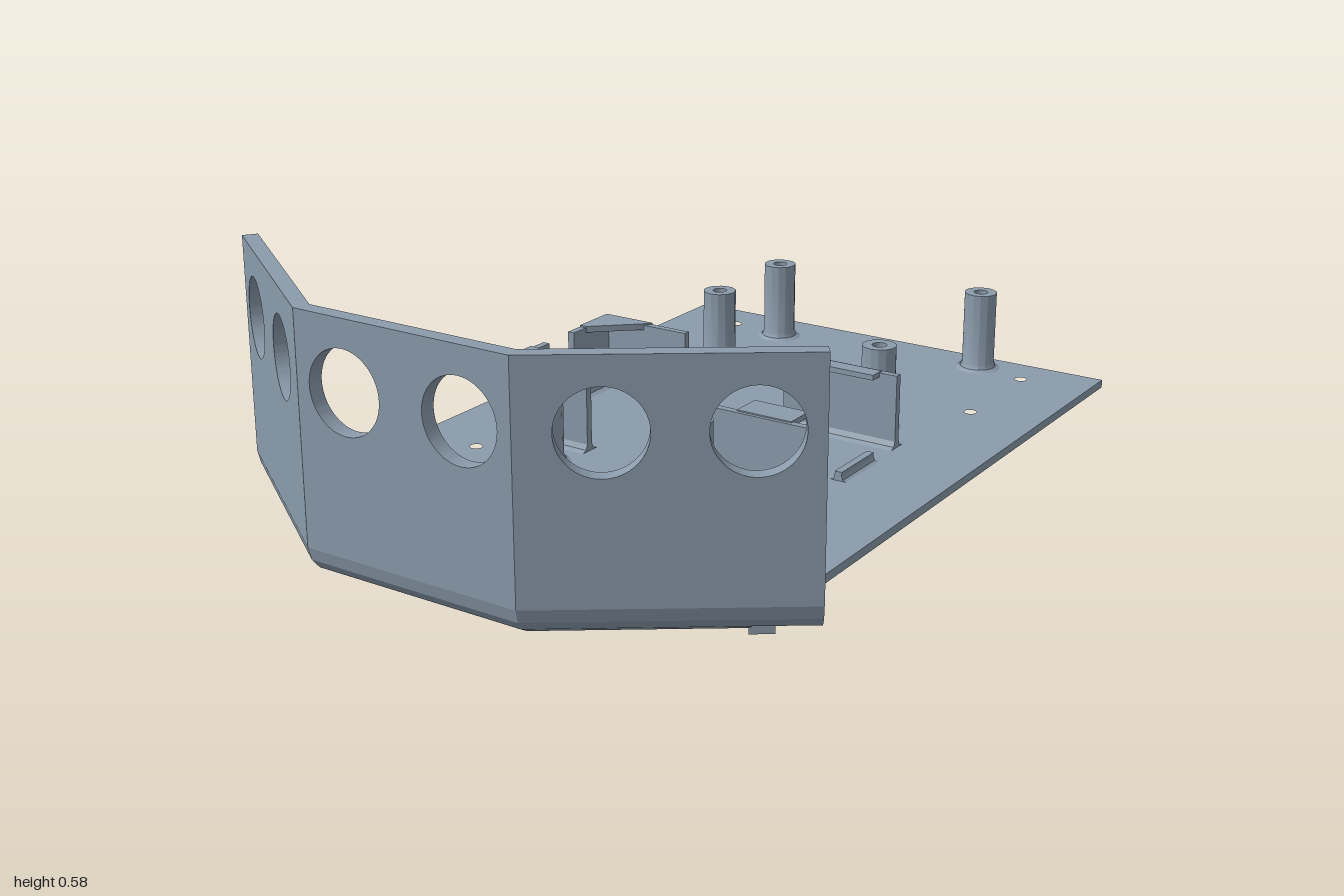
import * as THREE from 'three';
import { toCreasedNormals } from 'three/addons/utils/BufferGeometryUtils.js';

const steel = new THREE.MeshStandardMaterial({ color: 0x8a9bab });
steel.name = 'blue grey';

const CORNER = 0.265, WALL = 0.035, TOP = 0.58, PANEL = 0.581;
const NX = 0.576, NZ = 0.817, MITRE = 0.317; // outward normal of the angled panel, mitre slope
const PLATE = 0.61, THICK = 0.02;

function part(name, geo) {
  const m = new THREE.Mesh(toCreasedNormals(geo, 0.4), steel);
  m.name = name;
  return m;
}

function circle(x, y, r) {
  return new THREE.Path().absarc(x, y, r, 0, Math.PI * 2, true);
}

// Horizontal slab from [x, z] outline
function slab(name, pts, y0, y1, holes = []) {
  const shape = new THREE.Shape(pts.map(([x, z]) => new THREE.Vector2(x, -z)));
  holes.forEach(([x, z, r]) => shape.holes.push(circle(x, -z, r)));
  const g = new THREE.ExtrudeGeometry(shape, { depth: y1 - y0, bevelEnabled: false, curveSegments: 16 });
  g.rotateX(-Math.PI / 2).translate(0, y0, 0);
  return part(name, g);
}

// Upright wall panel with round holes; inner corners are mitred at the given u values
function panel(name, u0, u1, holes, mitres) {
  const shape = new THREE.Shape([[u0, 0.075], [u1, 0.075], [u1, TOP], [u0, TOP]].map(p => new THREE.Vector2(...p)));
  holes.forEach(u => shape.holes.push(circle(u, 0.428, 0.09)));
  const g = new THREE.ExtrudeGeometry(shape, { depth: WALL, bevelEnabled: false, curveSegments: 32 });
  g.translate(0, 0, -WALL);
  const p = g.attributes.position;
  for (let i = 0; i < p.count; i++) {
    if (p.getZ(i) > -WALL / 2) continue;
    for (const [u, dir] of mitres) {
      if (Math.abs(p.getX(i) - u) < 1e-4) { p.setX(i, u + dir * MITRE * WALL); break; }
    }
  }
  return part(name, g);
}

// Sweep a closed [inset, height] profile round the bent front
function sweep(name, profile, end) {
  const corner = d => [CORNER - MITRE * d, 1 - d];
  const flip = f => d => { const [x, z] = f(d); return [-x, z]; };
  const stations = [end, corner, flip(corner), flip(end)];
  const n = profile.length, pos = [], idx = [];
  stations.forEach(f => profile.forEach(([d, y]) => { const [x, z] = f(d); pos.push(x, y, z); }));
  for (let i = 0; i < 3; i++) {
    for (let j = 0; j < n; j++) {
      const k = (j + 1) % n, a = i * n + j, b = i * n + k;
      idx.push(a, b, b + n, a, b + n, a + n);
    }
  }
  const caps = THREE.ShapeUtils.triangulateShape(profile.map(([d, y]) => new THREE.Vector2(-d, y)), []);
  caps.forEach(([a, b, c]) => idx.push(c, b, a, a + 3 * n, b + 3 * n, c + 3 * n));
  const g = new THREE.BufferGeometry();
  g.setAttribute('position', new THREE.Float32BufferAttribute(pos, 3));
  g.setIndex(idx);
  return part(name, g);
}

// Thin upright rib with a flared foot, running along x (or z when alongZ)
function rib(name, x, z, length, height, alongZ) {
  const t = 0.009, f = Math.min(0.018, height * 0.5);
  const half = [[t + f, 0], [t + f * 0.3, f * 0.3], [t, f], [t, height]];
  const pts = [...half, ...half.slice().reverse().map(([a, b]) => [-a, b])];
  const g = new THREE.ExtrudeGeometry(new THREE.Shape(pts.map(p => new THREE.Vector2(...p))), { depth: length, bevelEnabled: false });
  g.translate(0, 0, -length / 2);
  if (!alongZ) g.rotateY(Math.PI / 2);
  g.translate(x, THICK, z);
  return part(name, g);
}

function box(name, x0, x1, y0, y1, z0, z1) {
  const g = new THREE.BoxGeometry(x1 - x0, y1 - y0, z1 - z0);
  g.translate((x0 + x1) / 2, (y0 + y1) / 2, (z0 + z1) / 2);
  return part(name, g);
}

export function createModel() {
  const model = new THREE.Group();
  model.name = 'sensorChassis';

  // Base plate with screw holes
  const posts = [
    [-0.28, -0.865, 0.225], [0.295, -0.92, 0.225], [-0.28, -0.56, 0.225], [0.285, -0.385, 0.225],
    [-0.24, 0.245, 0.205], [0.17, 0.245, 0.205], [-0.24, 0.665, 0.205], [0.17, 0.665, 0.205],
  ];
  const holes = posts.map(([x, z]) => [x, z, 0.018]);
  for (const z of [-0.89, -0.595, 0.26, 0.555]) holes.push([-0.435, z, 0.015], [0.432, z, 0.015]);
  const lip = 0.09, lipX = CORNER - MITRE * lip;
  const edgeZ = d => 1 - (d + NX * (PLATE - CORNER)) / NZ;
  model.add(slab('basePlate', [
    [-PLATE, -1], [PLATE, -1], [PLATE, edgeZ(lip)], [lipX, 1 - lip], [-lipX, 1 - lip], [-PLATE, edgeZ(lip)],
  ], 0, THICK, holes));

  // Rounded lower edge of the wall, and the curved join to the plate
  model.add(sweep('wallLowerEdge',
    [[WALL, 0.025], [0.0229, 0.025], [0.0069, 0.0463], [0, 0.075], [WALL, 0.075]],
    d => [CORNER + PANEL * NZ - NX * d, 1 - PANEL * NX - NZ * d]));
  model.add(sweep('wallJoin',
    [[lip, 0], [0.0534, 0.0065], [0.0229, 0.025], [WALL, 0.025], [WALL, 0.06], [0.046, 0.034], [0.07, THICK], [lip, THICK]],
    d => [PLATE, edgeZ(d)]));

  // Three wall panels with paired sensor holes
  const front = panel('frontPanel', -CORNER, CORNER, [-0.143, 0.143], [[-CORNER, 1], [CORNER, -1]]);
  front.position.z = 1;
  model.add(front);
  for (const s of [1, -1]) {
    const ends = s > 0 ? [0, PANEL] : [-PANEL, 0];
    const side = panel(s > 0 ? 'leftPanel' : 'rightPanel', ...ends, [s * 0.165, s * 0.453], [[0, s]]);
    side.position.set(s * CORNER, 0, 1);
    side.rotation.y = s * Math.atan2(NX, NZ);
    model.add(side);
    // Small gusset between plate edge and wing
    model.add(slab(s > 0 ? 'leftGusset' : 'rightGusset',
      [[0.605, 0.655], [0.612, 0.675], [0.624, 0.686], [0.647, 0.69], [0.605, 0.72]].map(([x, z]) => [s * x, z]), 0.003, 0.035));
  }

  // Hollow standoffs
  for (const [x, z, h] of posts) {
    const profile = [[0.058, THICK], [0.047, 0.026], [0.042, 0.038], [0.042, h], [0.018, h], [0.018, THICK]];
    const post = part('standoff', new THREE.LatheGeometry(profile.map(p => new THREE.Vector2(...p)), 14));
    post.position.set(x, 0, z);
    model.add(post);
  }

  // Holder: corner brackets on one side, tabbed clips on the other, mirrored about z = -0.07
  const holder = new THREE.Group();
  holder.name = 'moduleHolder';
  for (const s of [1, -1]) {
    const at = o => -0.07 + s * o;
    holder.add(rib('bracketWall', -0.32, at(0.206), 0.25, 0.18, false));
    holder.add(rib('bracketLeg', -0.436, at(0.1325), 0.165, 0.18, true));
    holder.add(slab('bracketRoof', [[-0.445, at(0.215)], [-0.305, at(0.215)], [-0.315, at(0.2)], [-0.425, at(0.1)], [-0.445, at(0.1)]], 0.188, 0.204));
    holder.add(rib('clipWall', 0.243, at(0.206), 0.305, 0.18, false));
    const [a, b] = [at(0.206), at(s > 0 ? 0.13 : 0.165)];
    holder.add(box('clipTab', 0.21, 0.35, 0.19, 0.203, Math.min(a, b), Math.max(a, b)));
  }
  holder.add(rib('stopRib', 0.383, -0.095, 0.15, 0.022, true));
  model.add(holder);

  return model;
}
